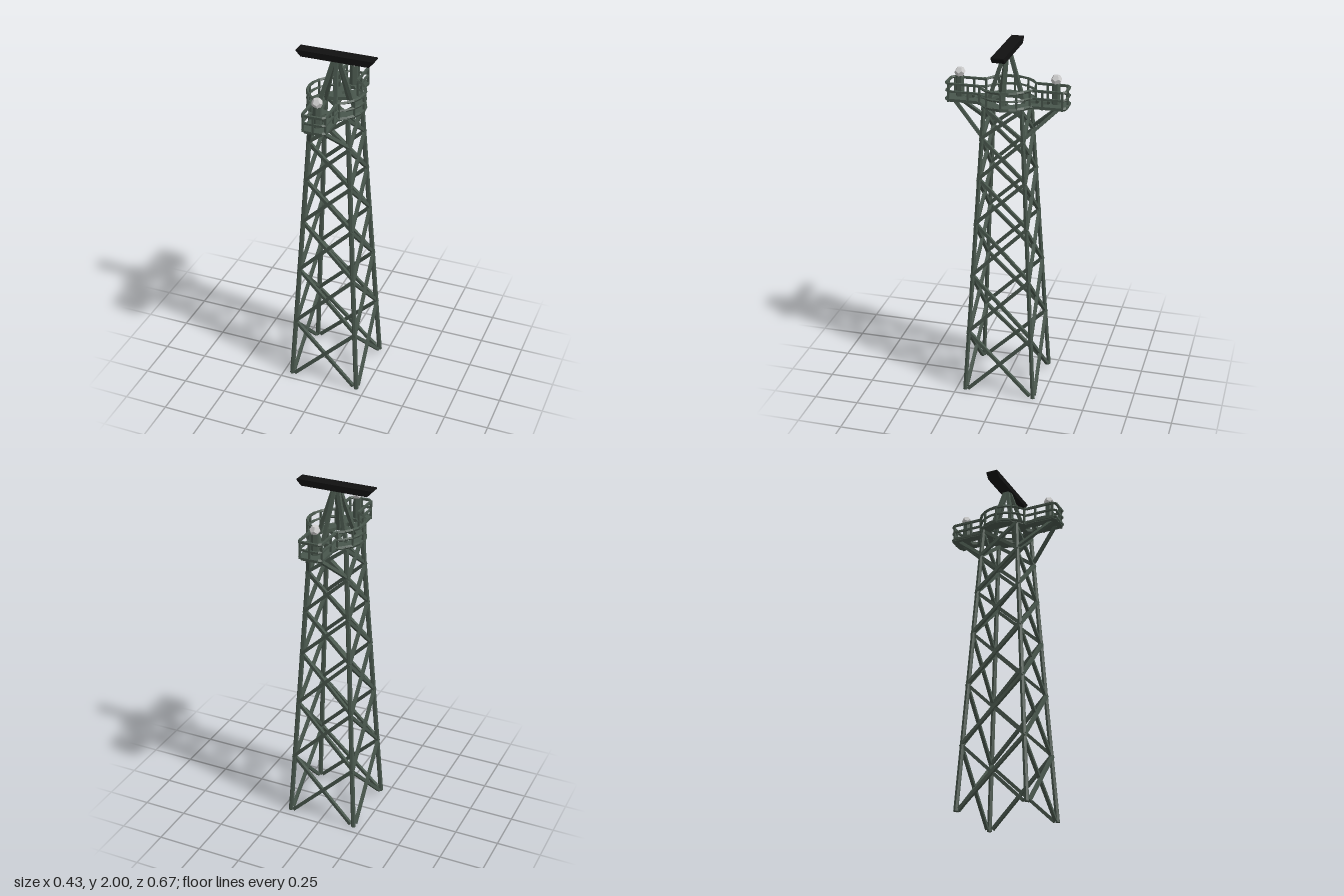
import * as THREE from 'three';

const paint = (color) => new THREE.MeshStandardMaterial({ color, flatShading: true, side: THREE.DoubleSide });
const V = (x, y, z) => new THREE.Vector3(x, y, z);

export function createModel() {
  const model = new THREE.Group();
  const green = paint(0x48564c);
  const black = paint(0x111111);
  const grey = paint(0xcccccc);

  const group = (name) => {
    const g = new THREE.Group();
    g.name = name;
    model.add(g);
    return g;
  };
  const add = (parent, name, geometry, material) => {
    const mesh = new THREE.Mesh(geometry, material);
    mesh.name = name;
    parent.add(mesh);
    return mesh;
  };
  // Straight bar between two points
  const beam = (parent, name, a, b, r, sides = 4) => {
    const geo = new THREE.CylinderGeometry(r, r, a.distanceTo(b), sides);
    geo.rotateY(Math.PI / 4);
    const mesh = add(parent, name, geo, green);
    mesh.position.copy(a).add(b).multiplyScalar(0.5);
    mesh.quaternion.setFromUnitVectors(V(0, 1, 0), b.clone().sub(a).normalize());
  };

  // Tapered four-legged lattice
  const DECK = 1.69;
  const half = (y) => 0.2 - 0.097 * (y / DECK);
  const levels = [0.01, 0.37, 0.72, 1.03, 1.29, 1.52, DECK];
  const legs = group('legs');
  const lattice = group('crossBraces');
  for (const sx of [-1, 1]) for (const sz of [-1, 1]) {
    const foot = half(0), top = half(DECK);
    beam(legs, 'leg', V(sx * foot, 0.001, sz * foot), V(sx * top, DECK, sz * top), 0.0135, 6);
  }
  for (let side = 0; side < 4; side++) {
    const face = new THREE.Group();
    face.name = 'bracedSide';
    face.rotation.y = side * Math.PI / 2;
    lattice.add(face);
    for (let i = 0; i < levels.length - 1; i++) {
      const [y0, y1] = [levels[i], levels[i + 1]];
      const [w0, w1] = [half(y0), half(y1)];
      const inset = i === 0 ? 0.02 : -0.004;
      for (const s of [-1, 1]) {
        // the two diagonals pass on either side of each other
        const shift = s * 0.004;
        beam(face, 'brace', V(-s * (w0 - inset), y0, w0 + shift), V(s * (w1 + 0.006), y1, w1 + shift), 0.0125);
      }
    }
  }

  // Deck outline: round middle with a chamfered arm at front and back
  const outline = [];
  const arm = (s) => [[0.062, 0.15], [0.062, 0.203], [0.062, 0.256], [0.062, 0.31],
    [0.047, 0.326], [0, 0.326], [-0.047, 0.326],
    [-0.062, 0.31], [-0.062, 0.256], [-0.062, 0.203], [-0.062, 0.15]]
    .map(([x, z]) => new THREE.Vector2(s * x, s * z));
  const arc = (from) => {
    for (let i = 0; i <= 8; i++) {
      const a = from + (i / 8) * 2.22;
      outline.push(new THREE.Vector2(0.153 * Math.cos(a), 0.153 * Math.sin(a)));
    }
  };
  arc(-1.11);
  outline.push(...arm(1));
  arc(Math.PI - 1.11);
  outline.push(...arm(-1));

  const polygonHole = (cx, cy, r, n) => {
    const pts = [];
    for (let i = 0; i < n; i++) {
      const a = -(i * 2 * Math.PI) / n;
      pts.push(new THREE.Vector2(cx + r * Math.cos(a), cy + r * Math.sin(a)));
    }
    return new THREE.Path(pts);
  };
  const deckShape = new THREE.Shape(outline);
  deckShape.holes.push(polygonHole(0, 0, 0.106, 5));
  for (const s of [-1, 1]) for (const z of [0.146, 0.207]) {
    deckShape.holes.push(polygonHole(0, s * z, 0.028, 6));
  }
  const platform = group('platform');
  const deckGeo = new THREE.ExtrudeGeometry(deckShape, { depth: 0.018, bevelEnabled: false });
  deckGeo.rotateX(-Math.PI / 2);
  add(platform, 'deck', deckGeo, green).position.y = DECK;

  // Railing with edge curb, middle rail and top rail; a post at every second corner
  const railing = group('railing');
  outline.forEach((p, i) => {
    const q = outline[(i + 1) % outline.length];
    for (const [y, r] of [[1.702, 0.0095], [1.748, 0.0075], [1.791, 0.0085]]) {
      beam(railing, 'rail', V(p.x, y, -p.y), V(q.x, y, -q.y), r);
    }
    if (i % 2 === 0) beam(railing, 'post', V(p.x, DECK, -p.y), V(p.x, 1.795, -p.y), 0.0075);
  });

  // Struts carrying the deck arms
  const struts = group('armSupports');
  const w = half(1.53);
  for (const sx of [-1, 1]) for (const sz of [-1, 1]) {
    beam(struts, 'armStrut', V(sx * w, 1.53, sz * w), V(sx * 0.027, 1.695, sz * 0.29), 0.0125);
  }

  // Five-legged mast under the antenna
  const mast = group('mast');
  for (let i = 0; i < 5; i++) {
    const a = (i * 2 * Math.PI) / 5;
    const c = Math.cos(a), s = Math.sin(a);
    beam(mast, 'mastLeg', V(0.105 * c, 1.695, 0.105 * s), V(0.014 * c, 1.972, 0.014 * s), 0.0135);
  }

  // Antenna bar, narrower along its underside
  const bar = new THREE.Shape([[-0.187, 1.966], [0.187, 1.966], [0.213, 1.993], [0.213, 2], [-0.213, 2], [-0.213, 1.993]]
    .map(([x, y]) => new THREE.Vector2(x, y)));
  const barGeo = new THREE.ExtrudeGeometry(bar, { depth: 0.068, bevelEnabled: false });
  barGeo.translate(0, 0, -0.034);
  add(model, 'antennaBar', barGeo, black);

  // Lamp on a pedestal at the end of each arm
  for (const s of [-1, 1]) {
    const lamp = group('lamp');
    lamp.position.set(-0.002, 0, s * 0.263);
    add(lamp, 'lampPedestal', new THREE.CylinderGeometry(0.022, 0.024, 0.115, 6), green).position.y = 1.765;
    const globe = add(lamp, 'lampGlobe', new THREE.DodecahedronGeometry(0.03), grey);
    globe.position.y = 1.841;
    globe.rotation.set(0.5, 0.3, 0);
  }
  return model;
}
